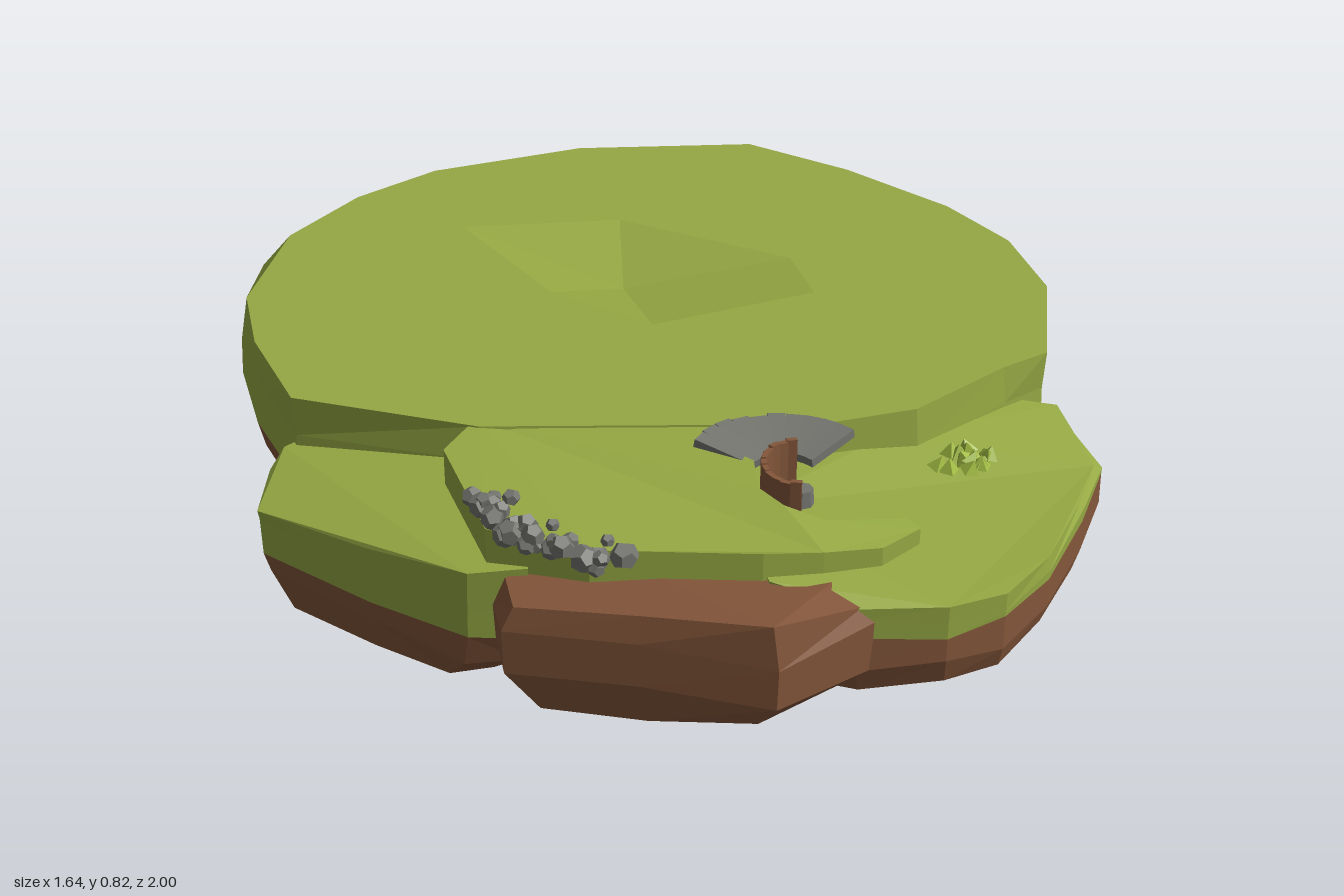
import * as THREE from 'three';

const mat = (color) => new THREE.MeshStandardMaterial({ color, flatShading: true, roughness: 0.95, side: THREE.DoubleSide });
const GRASS = mat(0x95a843), EARTH = mat(0x83563a), ROCK = mat(0x686864), STONE = mat(0x74746f), LEAF = mat(0xa2bc42);

let seed = 7;
const rnd = () => { seed = (seed * 16807) % 2147483647; return seed / 2147483647 - 0.5; };

function meshFrom(name, tris, material) {
  const g = new THREE.BufferGeometry();
  g.setAttribute('position', new THREE.Float32BufferAttribute(tris.flat(2), 3));
  g.computeVertexNormals();
  const m = new THREE.Mesh(g, material);
  m.name = name;
  return m;
}

// lid over a ring, with optional hole, facing up (1) or down (-1)
function lid(ring, dir, hole = []) {
  const v2 = (r) => r.map((p) => new THREE.Vector2(p[0], p[2]));
  const all = [...ring, ...hole];
  return THREE.ShapeUtils.triangulateShape(v2(ring), hole.length ? [v2(hole)] : []).map((f) => {
    const [a, b, c] = f.map((i) => all[i]);
    const ny = (b[2] - a[2]) * (c[0] - a[0]) - (b[0] - a[0]) * (c[2] - a[2]);
    return ny * dir > 0 ? [a, b, c] : [a, c, b];
  });
}

// skin between stacked rings, listed from top to bottom
function skin(rings) {
  const t = [];
  for (let k = 0; k + 1 < rings.length; k++) {
    const a = rings[k], b = rings[k + 1], n = a.length;
    for (let i = 0; i < n; i++) {
      const j = (i + 1) % n;
      t.push([a[i], a[j], b[j]], [a[i], b[j], b[i]]);
    }
  }
  return t;
}

// ring made by scaling an outline about its middle; wob shakes the heights
function ringAt(outline, y, s, wob = 0) {
  const n = outline.length;
  const cx = outline.reduce((q, p) => q + p[0], 0) / n, cz = outline.reduce((q, p) => q + p[1], 0) / n;
  return outline.map((p) => [cx + (p[0] - cx) * s, y + rnd() * wob, cz + (p[1] - cz) * s]);
}

// turf above earth; outline points are x, z and optionally the height and inset of the top edge
function terrace(name, outline, top, mid, low, hole) {
  const g = new THREE.Group();
  g.name = name;
  const t = outline.map((p, i) => ringAt(outline, p[2] ?? top[0], p[3] ?? top[1])[i]);
  const shoulder = ringAt(outline, (top[0] + mid[0]) / 2, (top[1] + 2 * mid[1]) / 3, 0.04);
  shoulder.forEach((p, i) => { p[1] = Math.min(p[1], t[i][1] - 0.01); });
  const seam = ringAt(outline, mid[0], mid[1], 0.03);
  const earth = [seam, ...low.map(([y, s]) => ringAt(outline, y, s, 0.025))];
  g.add(meshFrom(name + 'Turf', [...skin([t, shoulder, seam]), ...lid(t, 1, hole)], GRASS));
  g.add(meshFrom(name + 'Earth', [...skin(earth), ...lid(earth[earth.length - 1], -1)], EARTH));
  return g;
}

function place(group, name, geo, material, x, y, z, ry = 0) {
  const m = new THREE.Mesh(geo, material);
  m.name = name;
  m.position.set(x, y, z);
  m.rotation.y = ry;
  group.add(m);
  return m;
}

export function createModel() {
  const model = new THREE.Group();
  model.name = 'floatingIsland';

  // main plateau with a shallow hollow in its top
  const hollow = [[-0.4, -0.48], [-0.07, -0.52], [0.28, -0.32], [0.32, -0.15], [0, 0], [-0.2, -0.15]].map(([x, z]) => [x, 0.75, z]);
  const pit = [-0.06, 0.685, -0.31];
  const plateau = [[0.23, -1, 0.75, 0.96], [0.47, -0.86, 0.75, 0.92], [0.64, -0.6, 0.75, 0.99], [0.74, -0.41, 0.75, 1], [0.785, -0.18, 0.75, 1],
    [0.74, 0.12, 0.75, 1], [0.66, 0.19], [0.48, 0.36], [0.3, 0.42], [-0.31, 0.43], [-0.65, 0.31, 0.75, 1], [-0.76, 0.08, 0.75, 0.99], [-0.82, -0.12, 0.75, 0.975],
    [-0.825, -0.45, 0.75, 0.92], [-0.73, -0.7, 0.75, 0.88], [-0.53, -0.85, 0.75, 0.92], [-0.17, -0.95, 0.75, 0.99]];
  model.add(terrace('plateau', plateau, [0.75, 0.985], [0.59, 1], [[0.53, 0.985], [0.44, 0.93], [0.415, 0.8]], hollow));
  model.add(meshFrom('hollow', hollow.map((p, i) => [pit, hollow[(i + 1) % 6], p]), GRASS));

  // front block, curling around the sunken camp
  const block = [[-0.31, 0.38, 0.747], [0.13, 0.38, 0.747], [0.11, 0.47, 0.745], [0.175, 0.53, 0.743], [0.18, 0.62, 0.74], [0.22, 0.67, 0.735], [0.29, 0.695, 0.72],
    [0.43, 0.645, 0.695], [0.45, 0.67, 0.69], [0.38, 0.75, 0.7], [0.28, 0.79, 0.715], [0.18, 0.82, 0.73], [-0.1, 0.83, 0.743], [-0.27, 0.77, 0.747], [-0.36, 0.5, 0.747]];
  model.add(terrace('frontBlock', block, [0.74, 1], [0.6, 1], [[0.54, 1], [0.5, 0.9]]));

  // lower ledges on both sides of the block
  const ledgeA = [[0.6, 0.15, 0.68], [0.76, 0.16, 0.66], [0.79, 0.21, 0.64, 0.96], [0.82, 0.33, 0.63, 0.94], [0.76, 0.49, 0.635, 0.96], [0.67, 0.69, 0.645, 0.98], [0.58, 0.81, 0.65],
    [0.48, 0.86, 0.655], [0.33, 0.875, 0.66], [0.19, 0.83, 0.685], [0.15, 0.6, 0.69], [0.1, 0.4, 0.7], [0.42, 0.34, 0.69]];
  model.add(terrace('ledgeLeft', ledgeA, [0.66, 1], [0.595, 0.995], [[0.55, 1], [0.505, 0.95], [0.48, 0.8]]));
  const ledgeB = [[-0.55, 0.2, 0.66], [-0.67, 0.31, 0.65], [-0.69, 0.36, 0.63], [-0.69, 0.51, 0.63], [-0.48, 0.67, 0.65], [-0.3, 0.8, 0.68], [-0.2, 0.8, 0.69], [-0.28, 0.4, 0.69]];
  model.add(terrace('ledgeRight', ledgeB, [0.65, 1], [0.545, 0.98], [[0.5, 0.93], [0.44, 0.76]]));

  // earth boulder bulging from the front: x, z, top height, bottom height
  const boulder = [[-0.1, 0.72, 0.68, 0.47], [0.18, 0.7, 0.69, 0.46], [0.33, 0.78, 0.67, 0.48], [0.36, 0.87, 0.66, 0.51], [0.2, 0.995, 0.7, 0.5], [-0.02, 0.95, 0.69, 0.48],
    [-0.24, 0.905, 0.68, 0.48], [-0.26, 0.8, 0.675, 0.48]];
  const br = [ringAt(boulder, 0, 0.93), ringAt(boulder, 0.63, 1, 0.03), ringAt(boulder, 0.55, 0.99, 0.03), ringAt(boulder, 0, 0.8)];
  boulder.forEach((p, i) => { br[0][i][1] = p[2]; br[3][i][1] = p[3]; });
  br[0][4][2] = 0.99;
  model.add(meshFrom('frontBoulder', [...skin(br), ...lid(br[0], 1), ...lid(br[3], -1)], EARTH));

  // grey rock beneath the front terraces
  const under = [[-0.3, 0.05], [0.55, 0.05], [0.76, 0.22], [0.73, 0.5], [0.5, 0.75], [0.15, 0.79], [-0.15, 0.75], [-0.42, 0.5]];
  const ur = [ringAt(under, 0.52, 1), ringAt(under, 0.48, 0.97, 0.03), ringAt(under, 0.45, 0.8, 0.02), ringAt(under, 0.425, 0.55)];
  model.add(meshFrom('frontUnderside', [...skin(ur), ...lid(ur[3], -1)], ROCK));

  // stepped rock root: y, x min, x max, z min, z max
  const strata = [[0.47, -0.63, 0.6, -0.76, 0.48], [0.42, -0.61, 0.62, -0.77, 0.46], [0.4, -0.62, 0.63, -0.77, 0.43], [0.39, -0.66, 0.65, -0.78, 0.42], [0.335, -0.66, 0.65, -0.77, 0.41],
    [0.32, -0.6, 0.58, -0.7, 0.4], [0.28, -0.55, 0.53, -0.63, 0.37], [0.26, -0.5, 0.46, -0.6, 0.33], [0.215, -0.44, 0.41, -0.57, 0.29],
    [0.195, -0.38, 0.33, -0.5, 0.25], [0.16, -0.32, 0.28, -0.45, 0.19], [0.145, -0.28, 0.24, -0.42, 0.16], [0.105, -0.25, 0.2, -0.4, 0.12], [0.09, -0.2, 0.14, -0.35, 0.07],
    [0.05, -0.18, 0.13, -0.31, 0.0], [0.02, -0.16, 0.1, -0.28, -0.04], [0, -0.12, 0.06, -0.25, -0.08]];
  const N = 20;
  const root = strata.map(([y, x0, x1, z0, z1], k) => Array.from({ length: N }, (_, i) => {
    const a = (i / N) * Math.PI * 2, r = 0.995 + rnd() * 0.06;
    return [(x0 + x1) / 2 + ((x1 - x0) / 2) * r * Math.cos(a), y + (k < strata.length - 2 ? rnd() * 0.018 : 0), (z0 + z1) / 2 + ((z1 - z0) / 2) * r * Math.sin(a)];
  }));
  model.add(meshFrom('rockRoot', [...skin(root), ...lid(root[root.length - 1], -1)], ROCK));

  // row of loose stones along the front rim
  const stones = new THREE.Group();
  stones.name = 'rimStones';
  const rim = new THREE.CatmullRomCurve3([[-0.29, 0.765, 0.69], [-0.24, 0.775, 0.78], [-0.17, 0.77, 0.85], [-0.05, 0.765, 0.9]].map((p) => new THREE.Vector3(...p)));
  for (let i = 0; i < 26; i++) {
    const p = rim.getPoint(i / 25);
    const r = 0.018 + rnd() * 0.014;
    place(stones, 'rimStone', new THREE.DodecahedronGeometry(r), STONE, p.x + rnd() * 0.03, p.y + rnd() * 0.03 + (i === 9 ? 0.02 : 0), p.z + rnd() * 0.03, i);
  }
  for (const [x, z] of [[-0.16, 0.77], [-0.07, 0.82], [-0.2, 0.81]]) place(stones, 'looseStone', new THREE.DodecahedronGeometry(0.012), STONE, x, 0.755, z);
  model.add(stones);

  // sunken camp: fan of stone steps, curved plank fence, well
  const camp = new THREE.Group();
  camp.name = 'camp';
  for (let i = 0; i < 10; i++) {
    const a = Math.PI * (1.16 + i * 0.066);
    const s = place(camp, 'slab', new THREE.BoxGeometry(0.11 + rnd() * 0.02, 0.016, 0.032), STONE, 0.225 + Math.cos(a) * 0.11, 0.742, 0.55 + Math.sin(a) * 0.11, -a);
    s.rotation.z = 0.18;
  }
  for (let i = 0; i < 11; i++) {
    const a = Math.PI * (0.55 + i * 0.09);
    place(camp, 'plank', new THREE.BoxGeometry(0.01, 0.08, 0.019), EARTH, 0.25 + Math.cos(a) * 0.06, 0.73 + rnd() * 0.006, 0.58 + Math.sin(a) * 0.075, -a);
  }
  place(camp, 'well', new THREE.CylinderGeometry(0.02, 0.022, 0.03, 8), STONE, 0.255, 0.705, 0.585);
  model.add(camp);

  // low grass tufts
  for (let i = 0; i < 14; i++) {
    const t = place(model, 'tuft', new THREE.ConeGeometry(0.02, 0.025, 4), LEAF, 0.56 + rnd() * 0.11, 0.682, 0.39 + rnd() * 0.1, i);
    t.rotation.z = rnd();
  }
  return model;
}
